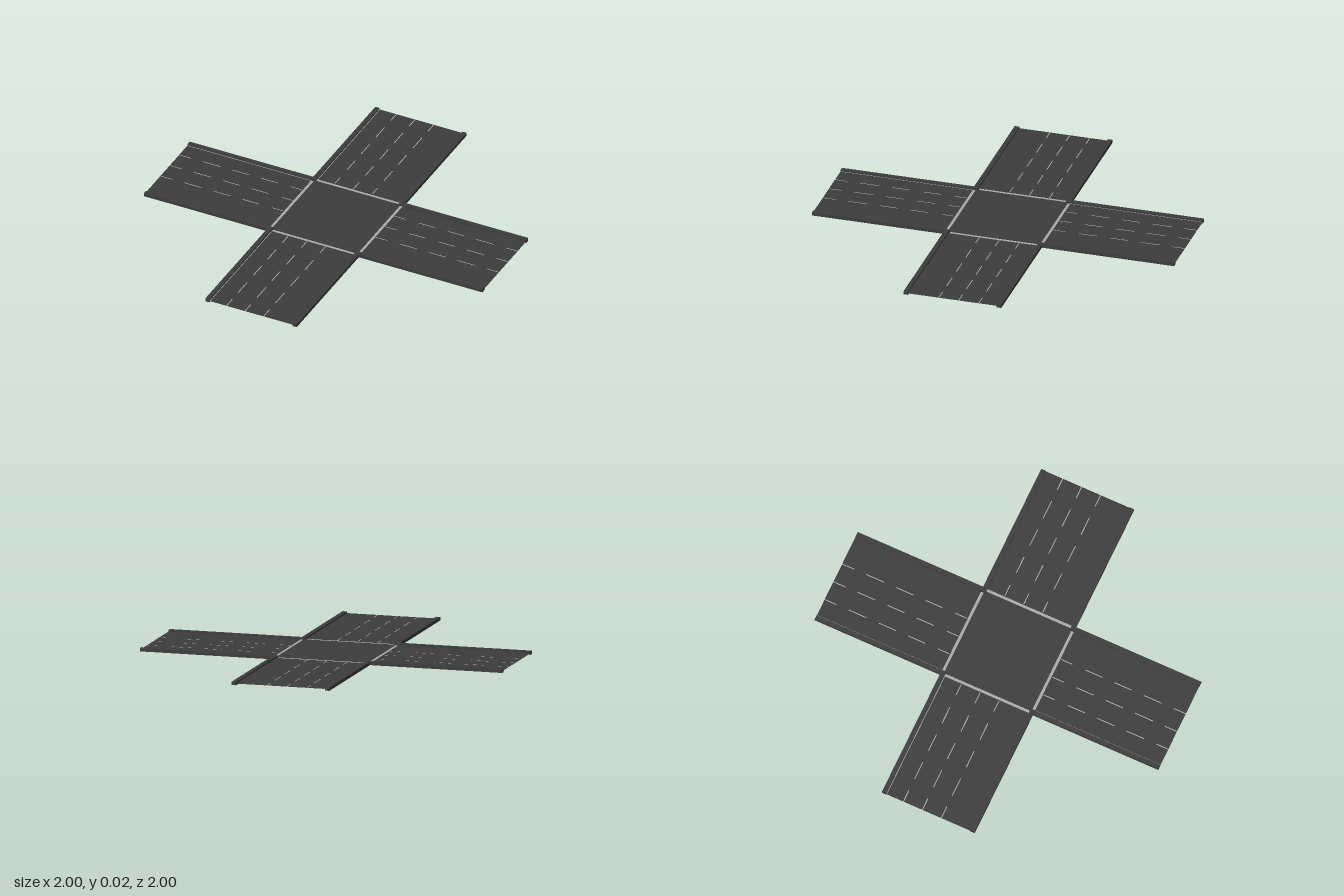
import * as THREE from 'three';

const INNER = 0.245; // inside face of the kerbs
const OUTER = 0.27;  // outside face of the kerbs
const KERB_H = 0.018;
const ROAD_Y = 0.009;

export function createModel() {
  const asphalt = new THREE.MeshStandardMaterial({ color: 0x3c3c3c, side: THREE.DoubleSide });
  asphalt.name = 'asphalt';
  const paint = new THREE.MeshStandardMaterial({ color: 0xaaaaaa, side: THREE.DoubleSide });
  paint.name = 'roadPaint';

  const model = new THREE.Group();
  model.name = 'crossroads';

  // Mesh spanning a range along a road and a range across it
  function piece(parent, name, material, alongX, [a0, a1], [c0, c1], y, height = 0) {
    const along = Math.abs(a1 - a0), across = Math.abs(c1 - c0);
    const w = alongX ? along : across, d = alongX ? across : along;
    const geometry = height > 0
      ? new THREE.BoxGeometry(w, height, d)
      : new THREE.PlaneGeometry(w, d).rotateX(-Math.PI / 2);
    const mesh = new THREE.Mesh(geometry, material);
    const a = (a0 + a1) / 2, c = (c0 + c1) / 2;
    mesh.position.set(alongX ? a : c, y, alongX ? c : a);
    mesh.name = name;
    parent.add(mesh);
  }

  // Centre square
  piece(model, 'junctionSurface', asphalt, true, [-0.255, 0.255], [-0.255, 0.255], ROAD_Y);

  const dashes = [[0.275, 0.34], [0.415, 0.515], [0.585, 0.685], [0.755, 0.86], [0.93, 1]];
  const lanes = [-0.145, -0.035, 0.075];
  const lineY = ROAD_Y + 0.0006;

  for (const alongX of [true, false]) {
    for (const s of [-1, 1]) {
      const arm = new THREE.Group();
      arm.name = (alongX ? (s > 0 ? 'left' : 'right') : (s > 0 ? 'front' : 'back')) + 'Road';
      model.add(arm);

      // Carriageway
      piece(arm, 'roadSurface', asphalt, alongX, [s * OUTER, s], [-INNER, INNER], ROAD_Y);

      // Raised kerbs; one pair of roads fills the shared corners
      const start = alongX ? OUTER : INNER;
      for (const k of [-1, 1]) {
        piece(arm, 'kerb', asphalt, alongX, [s * start, s], [k * INNER, k * OUTER], KERB_H / 2, KERB_H);
      }

      // Stop line between the road and the junction
      piece(arm, 'stopLine', paint, alongX, [s * 0.255, s * OUTER], [-INNER, 0.24], ROAD_Y);

      // Dashed lane lines
      for (const c of lanes) {
        for (const [d0, d1] of dashes) {
          piece(arm, 'laneDash', paint, alongX, [s * d0, s * d1], [c - 0.0025, c + 0.0025], lineY);
        }
      }

      // Solid edge line on one side
      if (!alongX || s < 0) {
        piece(arm, 'edgeLine', paint, alongX, [s * OUTER, s], [-INNER, -INNER + 0.004], lineY);
      }
    }
  }
  return model;
}
